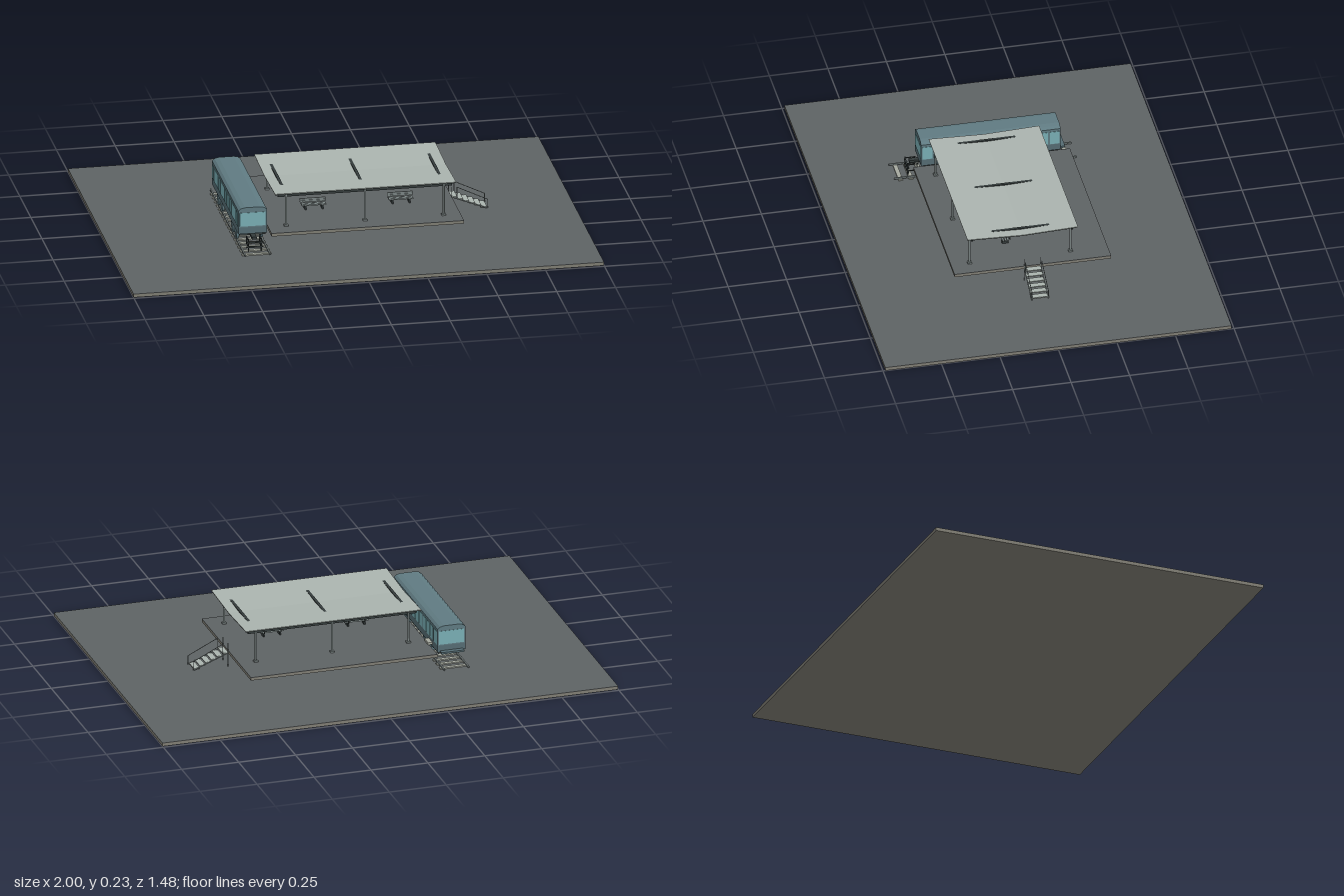
import * as THREE from 'three';

const mat = (name, color) => Object.assign(new THREE.MeshStandardMaterial({ color }), { name });

export function createModel() {
  const paving = mat('grey paving', 0x5e6364);
  const concrete = mat('warm concrete', 0x817f75);
  const dark = mat('dark steel', 0x343c3c);
  const roofPale = mat('pale roofing', 0xabb4af);
  const pale = mat('pale boards', 0xa6aaa0);
  const body = mat('carriage teal', 0x607b82);
  const lower = mat('lower teal', 0x566d74);
  const glass = mat('window teal', 0x7ab0b6);
  const steel = mat('post grey', 0x7d8786);

  const model = new THREE.Group();
  const group = (name, parent = model) => {
    const g = new THREE.Group();
    g.name = name;
    parent.add(g);
    return g;
  };
  const mesh = (parent, name, geo, m, x = 0, y = 0, z = 0) => {
    const o = new THREE.Mesh(geo, m);
    o.name = name;
    o.position.set(x, y, z);
    parent.add(o);
    return o;
  };
  // box given by its limits on each axis
  const box = (p, name, m, x0, x1, y0, y1, z0, z1) =>
    mesh(p, name, new THREE.BoxGeometry(x1 - x0, y1 - y0, z1 - z0), m,
      (x0 + x1) / 2, (y0 + y1) / 2, (z0 + z1) / 2);
  // round bar between two points
  const bar = (p, name, m, a, b, r) => {
    const A = new THREE.Vector3(...a), B = new THREE.Vector3(...b);
    const o = mesh(p, name, new THREE.CylinderGeometry(r, r, A.distanceTo(B), 8), m);
    o.position.copy(A).add(B).multiplyScalar(0.5);
    o.quaternion.setFromUnitVectors(new THREE.Vector3(0, 1, 0), B.sub(A).normalize());
  };

  // Ground slab with paved surface
  box(model, 'groundSlab', concrete, -1, 1, 0, 0.014, -0.74, 0.74);
  box(model, 'groundPaving', paving, -1, 1, 0.014, 0.015, -0.74, 0.74);

  // Raised platform
  const platform = group('platform');
  box(platform, 'platformSlab', concrete, -0.336, 0.482, 0.07, 0.082, -0.337, 0.332);
  box(platform, 'platformPaving', paving, -0.336, 0.482, 0.082, 0.0835, -0.337, 0.332);
  box(platform, 'gangway', pale, -0.352, -0.33, 0.084, 0.094, -0.23, -0.18);

  // Shelter: shallow V roof with level cross beams rising through the valley
  const shelter = group('shelter');
  const zMid = 0.036, zHalf = 0.236, yMid = 0.223, yEnd = 0.232;
  const section = (t, inset) => {
    const s = new THREE.Shape();
    const h = zHalf - inset;
    s.moveTo(-h, yEnd);
    s.lineTo(-h, yEnd - t);
    s.lineTo(0, yMid - t);
    s.lineTo(h, yEnd - t);
    s.lineTo(h, yEnd);
    s.lineTo(0, yMid);
    s.closePath();
    return s;
  };
  const roofPart = (name, m, t, inset, x0, x1, y) => {
    const g = new THREE.ExtrudeGeometry(section(t, inset), { depth: x1 - x0, bevelEnabled: false });
    g.rotateY(Math.PI / 2);
    mesh(shelter, name, g, m, x0, y, zMid);
  };
  roofPart('roofSheet', roofPale, 0.0025, 0, -0.31, 0.46, 0.0025);
  roofPart('roofLining', dark, 0.0025, 0.001, -0.309, 0.459, 0);
  for (const x of [-0.26, 0.075, 0.41]) {
    box(shelter, 'crossBeam', dark, x - 0.006, x + 0.006, 0.219, 0.2302, -0.175, 0.25);
    for (const z of [-0.178, 0.253]) {
      const s = z > 0 ? -1 : 1;
      bar(shelter, 'post', steel, [x, 0.083, z], [x, 0.226, z], 0.0046);
      box(shelter, 'postFoot', steel, x - 0.009, x + 0.009, 0.0835, 0.09, z - 0.009, z + 0.009);
      bar(shelter, 'brace', steel, [x, 0.2, z], [x, 0.22, z + s * 0.025], 0.002);
    }
  }
  for (const z of [-0.178, 0.25]) box(shelter, 'purlin', dark, -0.295, 0.445, 0.214, 0.226, z - 0.004, z + 0.004);

  // Benches
  for (const x of [-0.11, 0.26]) {
    const bench = group('bench');
    for (let i = 0; i < 3; i++) {
      const z = 0.066 + i * 0.01;
      box(bench, 'seatSlat', steel, x - 0.052, x + 0.052, 0.101, 0.106, z - 0.004, z + 0.004);
    }
    for (const y of [0.108, 0.117]) box(bench, 'backSlat', steel, x - 0.055, x + 0.055, y, y + 0.008, 0.057, 0.061);
    for (const dx of [-0.036, 0.036]) {
      box(bench, 'leg', dark, x + dx - 0.003, x + dx + 0.003, 0.083, 0.101, 0.062, 0.09);
      box(bench, 'backSupport', dark, x + dx - 0.002, x + dx + 0.002, 0.1, 0.122, 0.055, 0.057);
    }
  }

  // Stairs on the left side
  const stairs = group('stairs');
  for (let i = 0; i < 6; i++) {
    const x = 0.483 + i * 0.0252, y = 0.075 - i * 0.0105;
    box(stairs, 'tread', roofPale, x, x + 0.0256, y - 0.003, y + 0.001, -0.034, 0.034);
  }
  for (const z of [-0.035, 0.035]) {
    bar(stairs, 'stringer', steel, [0.49, 0.074, z], [0.635, 0.017, z], 0.0025);
    bar(stairs, 'handrail', steel, [0.508, 0.118, z], [0.638, 0.055, z], 0.0016);
    bar(stairs, 'topPost', steel, [0.485, 0.015, z], [0.485, 0.12, z], 0.0016);
    bar(stairs, 'railPost', steel, [0.508, 0.068, z], [0.508, 0.118, z], 0.0016);
    bar(stairs, 'bottomPost', steel, [0.638, 0.015, z], [0.638, 0.055, z], 0.0016);
  }

  // Track
  const cx = -0.41;
  const track = group('track');
  for (let z = -0.332; z < 0.4; z += 0.0447) box(track, 'sleeper', pale, cx - 0.062, cx + 0.062, 0.015, 0.02, z - 0.009, z + 0.009);
  for (const s of [-1, 1]) box(track, 'rail', steel, cx + s * 0.053 - 0.003, cx + s * 0.053 + 0.003, 0.02, 0.027, -0.37, 0.41);

  // Carriage shell with chamfered roof, running along z
  const train = group('carriage');
  const shell = new THREE.Shape();
  [[-0.061, 0.105], [0.061, 0.105], [0.061, 0.18], [0.05, 0.189], [0.032, 0.193],
    [-0.032, 0.193], [-0.05, 0.189], [-0.061, 0.18]]
    .forEach(([x, y], i) => (i ? shell.lineTo(x, y) : shell.moveTo(x, y)));
  mesh(train, 'carriageShell', new THREE.ExtrudeGeometry(shell, { depth: 0.596, bevelEnabled: false }), body, cx, 0, -0.3);
  box(train, 'lowerPanel', lower, cx - 0.061, cx + 0.061, 0.076, 0.105, -0.3, 0.296);
  box(train, 'underframe', dark, cx - 0.055, cx + 0.055, 0.067, 0.076, -0.295, 0.29);
  box(train, 'rearStep', lower, cx - 0.05, cx + 0.05, 0.074, 0.082, -0.322, -0.3);
  for (const s of [-1, 1]) {
    // side windows
    for (let i = 0; i < 12; i++) {
      const z = 0.269 - i * 0.0494;
      const x = cx + s * 0.0615;
      box(train, 'sideWindow', glass, x - 0.001, x + 0.001, 0.108, 0.168, z - 0.0205, z + 0.0205);
    }
    // end window
    const z = s > 0 ? 0.2965 : -0.3005;
    box(train, 'endWindow', glass, cx - 0.055, cx + 0.055, 0.11, 0.17, z - 0.001, z + 0.001);
  }

  // Bogies with wheels and axles
  for (const zc of [0.172, -0.148]) {
    const bogie = group('bogie', train);
    box(bogie, 'bogieFrame', dark, cx - 0.036, cx + 0.036, 0.046, 0.067, zc - 0.05, zc + 0.05);
    for (const z of [zc - 0.038, zc + 0.038]) {
      bar(bogie, 'axle', dark, [cx - 0.05, 0.047, z], [cx + 0.05, 0.047, z], 0.004);
      for (const s of [-1, 1]) {
        const x = cx + s * 0.051;
        const w = mesh(bogie, 'wheel', new THREE.CylinderGeometry(0.021, 0.021, 0.01, 20), body, x, 0.047, z);
        w.rotation.z = Math.PI / 2;
        box(bogie, 'wheelHousing', body, x - 0.006, x + 0.006, 0.05, 0.069, z - 0.021, z + 0.021);
      }
    }
  }

  // End stop at the front of the track
  const stop = group('endStop');
  for (const s of [-1, 1]) {
    const x = cx + s * 0.027;
    bar(stop, 'upright', dark, [x, 0.015, 0.346], [x, 0.072, 0.346], 0.003);
    bar(stop, 'rearUpright', dark, [x, 0.034, 0.306], [x, 0.068, 0.306], 0.0025);
    for (const y of [0.036, 0.066]) bar(stop, 'sideBar', dark, [x, y, 0.302], [x, y, 0.346], 0.0025);
  }
  for (const y of [0.035, 0.055]) box(stop, 'crossBar', dark, cx - 0.036, cx + 0.036, y - 0.003, y + 0.003, 0.342, 0.349);
  box(train, 'coupler', dark, cx - 0.01, cx + 0.01, 0.064, 0.074, 0.285, 0.335);

  return model;
}
